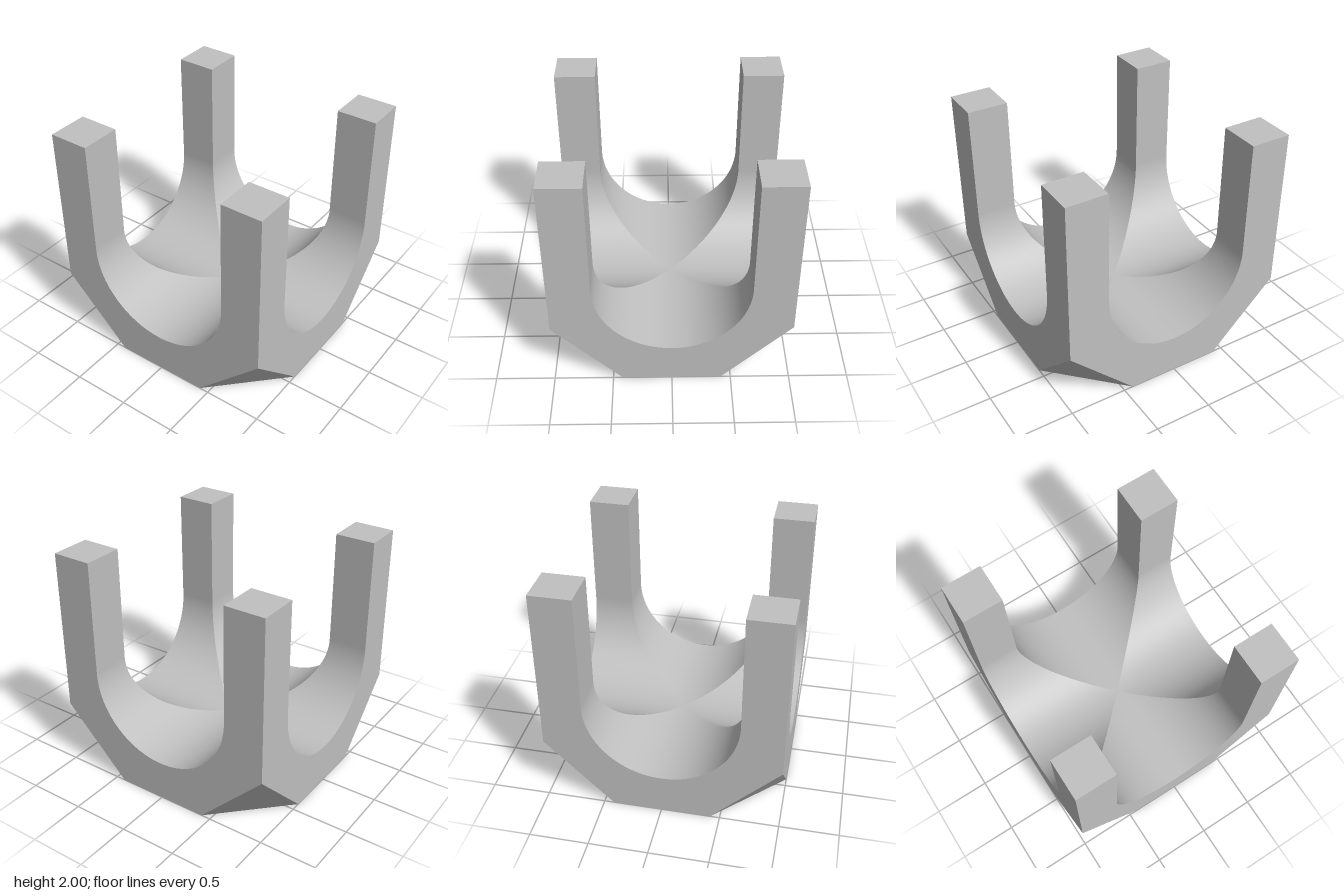
import * as THREE from 'three';

const AXIS_Y = 1; // height of the channel axes
const SEGMENTS = 64;

// U-shaped profile across a channel: straight side, half circle, straight side
function channelProfile(r, top) {
  const pts = [[-r, top, 1, 0]];
  for (let i = 0; i <= SEGMENTS; i++) {
    const t = Math.PI * (i / SEGMENTS);
    const c = i === SEGMENTS / 2 ? 0 : Math.cos(t);
    pts.push([-r * c, AXIS_Y - r * Math.sin(t), c, Math.sin(t)]);
  }
  pts.push([r, top, -1, 0]);
  return pts; // x, y, normal x, normal y
}

// One channel arm, mitred against its neighbours along the diagonals
function channelGeometry(a, r, top) {
  const pos = [], nor = [], idx = [];
  channelProfile(r, top).forEach(([x, y, nx, ny], i) => {
    pos.push(x, y, Math.abs(x), x, y, a);
    nor.push(nx, ny, 0, nx, ny, 0);
    if (i > 0) {
      const k = 2 * i - 2;
      idx.push(k, k + 1, k + 2, k + 1, k + 3, k + 2);
    }
  });
  const g = new THREE.BufferGeometry();
  g.setAttribute('position', new THREE.Float32BufferAttribute(pos, 3));
  g.setAttribute('normal', new THREE.Float32BufferAttribute(nor, 3));
  g.setIndex(idx);
  return g;
}

// Flat side wall with the U opening and cut lower corners
function wallGeometry(a, r, top, c) {
  const outline = [[-a, top], [-a, 2 * a - c], [a - c, 0], [c - a, 0], [a, 2 * a - c], [a, top]];
  const opening = channelProfile(r, top).reverse();
  const shape = new THREE.Shape([...outline, ...opening].map(([x, y]) => new THREE.Vector2(x, y)));
  return new THREE.ShapeGeometry(shape).translate(0, 0, a);
}

// Sloping triangle under each leg
function chamferGeometry(a, c) {
  const g = new THREE.BufferGeometry();
  g.setAttribute('position', new THREE.Float32BufferAttribute(
    [a, 2 * a - c, a, c - a, 0, a, a, 0, c - a], 3));
  g.setIndex([0, 1, 2]);
  g.computeVertexNormals();
  return g;
}

// Square end of a leg
function capGeometry(a, r, top) {
  const m = (a + r) / 2;
  return new THREE.PlaneGeometry(a - r, a - r).rotateX(-Math.PI / 2).translate(m, top, m);
}

// Turns a surface inside out
function invert(g) {
  const idx = g.index.array, n = g.attributes.normal.array;
  for (let i = 0; i < idx.length; i += 3) [idx[i], idx[i + 1]] = [idx[i + 1], idx[i]];
  for (let i = 0; i < n.length; i++) n[i] = -n[i];
  return g;
}

// Skin of the whole body: four identical quarters about the vertical axis
function createSkin(name, material, { a, r, top, c }, inside) {
  const skin = new THREE.Group();
  skin.name = name;
  const parts = {
    sideWall: wallGeometry(a, r, top, c),
    channel: channelGeometry(a, r, top),
    cornerChamfer: chamferGeometry(a, c),
    legEnd: capGeometry(a, r, top),
  };
  if (inside) Object.values(parts).forEach(invert);
  for (let q = 0; q < 4; q++) {
    for (const [part, geometry] of Object.entries(parts)) {
      const mesh = new THREE.Mesh(geometry, material);
      mesh.name = part;
      mesh.rotation.y = q * Math.PI / 2;
      skin.add(mesh);
    }
  }
  return skin;
}

// Eight-sided outline of the open underside
function octagon({ a, c }) {
  const k = c - a;
  return [[a, -k], [a, k], [k, a], [-k, a], [-a, k], [-a, -k], [-k, -a], [k, -a]]
    .map(([x, y]) => new THREE.Vector2(x, y));
}

export function createModel() {
  const grey = new THREE.MeshStandardMaterial({ color: 0xc0c0c0 });
  grey.name = 'grey';

  const t = 0.05; // shell thickness
  const outer = { a: 1, r: 0.647, top: 2, c: 1.418 };
  const inner = { a: 1 - t, r: outer.r + t, top: 2 - t, c: outer.c - t * Math.sqrt(3) };

  const model = new THREE.Group();
  model.name = 'fourLeggedCradle';
  model.add(createSkin('outerShell', grey, outer, false));
  model.add(createSkin('innerShell', grey, inner, true));

  // Rim joining both skins around the open bottom
  const ring = new THREE.Shape(octagon(outer));
  ring.holes.push(new THREE.Path(octagon(inner)));
  const rim = new THREE.Mesh(new THREE.ShapeGeometry(ring).rotateX(Math.PI / 2), grey);
  rim.name = 'bottomRim';
  model.add(rim);
  return model;
}
